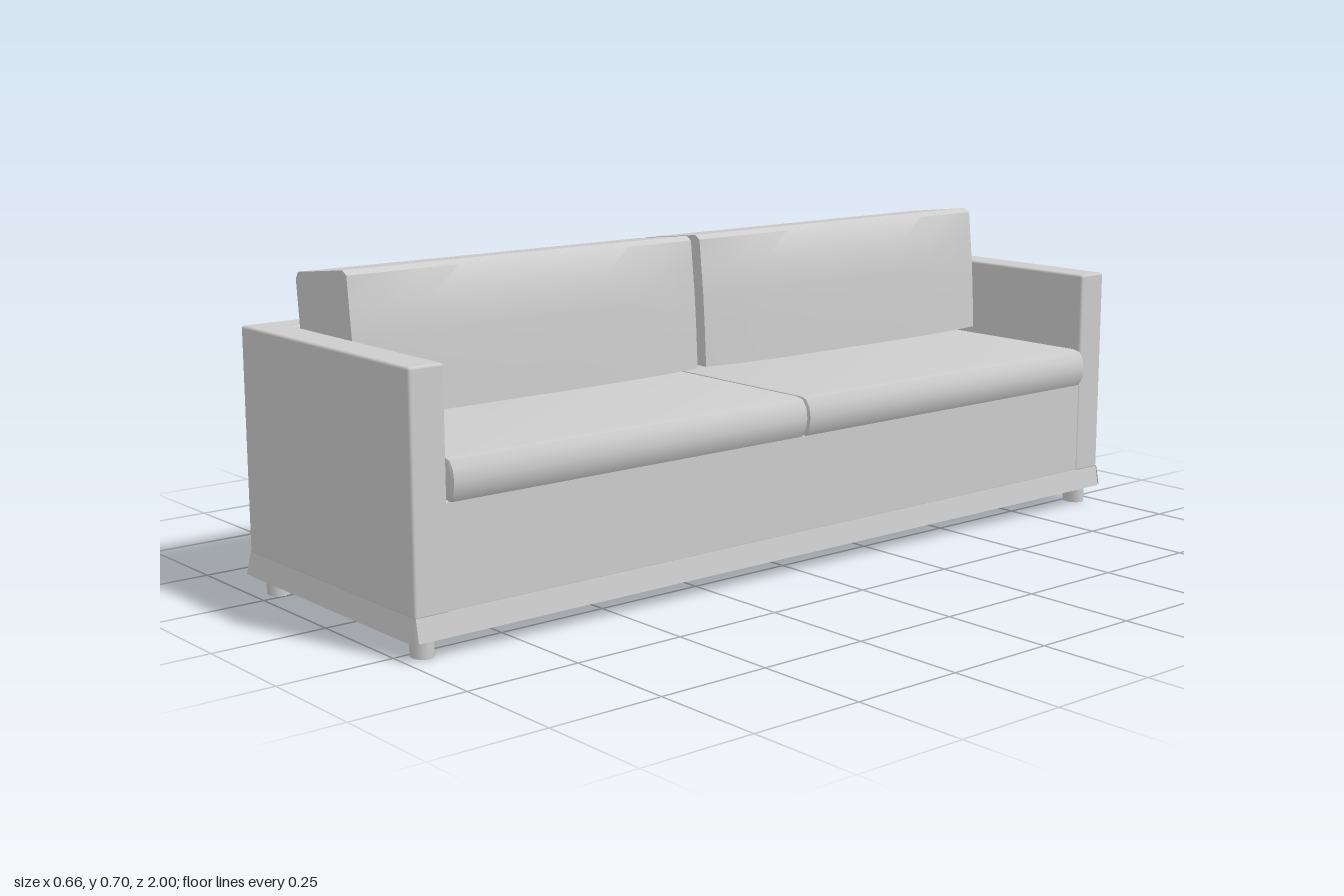
import * as THREE from 'three';
import { toCreasedNormals } from 'three/addons/utils/BufferGeometryUtils.js';
import { RoundedBoxGeometry } from 'three/addons/geometries/RoundedBoxGeometry.js';

export function createModel() {
  const sofa = new THREE.Group();
  sofa.name = 'sofa';
  const fabric = new THREE.MeshStandardMaterial({ color: 0xcccccc, side: THREE.DoubleSide });
  fabric.name = 'light grey fabric';

  const add = (name, geometry) => {
    const mesh = new THREE.Mesh(geometry, fabric);
    mesh.name = name;
    sofa.add(mesh);
    return mesh;
  };
  // Softly rounded block given by its minimum and maximum corners
  const block = (name, [x0, y0, z0], [x1, y1, z1], radius = 0.006) => {
    const mesh = add(name, new RoundedBoxGeometry(x1 - x0, y1 - y0, z1 - z0, 2, radius));
    mesh.position.set((x0 + x1) / 2, (y0 + y1) / 2, (z0 + z1) / 2);
  };
  const outline = points => new THREE.Shape(points.map(p => new THREE.Vector2(...p)));

  // Frame: base, backrest and arms
  block('base', [-0.3, 0.085, -0.92], [0.31, 0.305, 0.92]);
  block('backrest', [-0.322, 0.085, -0.985], [-0.24, 0.568, 0.985]);
  for (const s of [-1, 1]) {
    const z = [s * 0.91, s * 0.988].sort((a, b) => a - b);
    block(s > 0 ? 'leftArm' : 'rightArm', [-0.322, 0.085, z[0]], [0.312, 0.568, z[1]]);
  }

  // Skirt: four slightly flared panels hanging below the frame, open at the corners
  const skirt = (name, a, b, out) => {
    const g = new THREE.BufferGeometry();
    const low = p => [p[0] + out[0], 0.041, p[1] + out[1]];
    const high = p => [p[0], 0.09, p[1]];
    g.setAttribute('position', new THREE.Float32BufferAttribute(
      [...high(a), ...low(a), ...low(b), ...high(b)], 3));
    g.setIndex([0, 1, 2, 0, 2, 3]);
    g.computeVertexNormals();
    add(name, g);
  };
  skirt('frontSkirt', [0.311, 0.986], [0.311, -0.986], [0.009, 0]);
  skirt('backSkirt', [-0.321, -0.986], [-0.321, 0.986], [-0.01, 0]);
  skirt('leftSkirt', [-0.321, 0.987], [0.312, 0.987], [0, 0.012]);
  skirt('rightSkirt', [0.312, -0.987], [-0.321, -0.987], [0, -0.012]);

  // Seat cushions: flat slabs with a rounded front edge
  const bevel = 0.008;
  const seatShape = outline([
    [-0.235, 0.306], [0.3, 0.306], [0.312, 0.309], [0.321, 0.322], [0.324, 0.343],
    [0.321, 0.364], [0.312, 0.377], [0.3, 0.38], [-0.235, 0.38],
  ]);
  for (const z of [-0.908, 0.002]) {
    const g = new THREE.ExtrudeGeometry(seatShape, {
      depth: 0.906 - 2 * bevel, bevelSize: bevel, bevelThickness: bevel, bevelSegments: 2,
    });
    g.translate(0, 0, z + bevel);
    add('seatCushion', toCreasedNormals(g, 0.7));
  }

  // Back cushions: leaning wedges whose front face bulges along their length
  const backShape = outline([
    [-0.205, 0.405], [0, 0.405], [-0.005, 0.5], [-0.01, 0.57], [-0.017, 0.635],
    [-0.045, 0.692], [-0.06, 0.701], [-0.235, 0.68], [-0.245, 0.665], [-0.235, 0.565],
  ]);
  const length = 0.885;
  for (const z of [-0.895, 0.015]) {
    const g = new THREE.ExtrudeGeometry(backShape, { depth: length, steps: 10, bevelEnabled: false });
    const p = g.attributes.position;
    for (let i = 0; i < p.count; i++) {
      const t = Math.abs(2 * p.getZ(i) / length - 1);
      if (p.getX(i) > -0.03) p.setX(i, p.getX(i) - 0.022 * t ** 4);
    }
    g.translate(0, 0, z);
    add('backCushion', toCreasedNormals(g, 0.6));
  }

  // Short legs
  for (const x of [-0.278, 0.273]) for (const z of [-0.95, 0.95]) {
    const leg = add('leg', new THREE.CylinderGeometry(0.027, 0.027, 0.09, 12));
    leg.scale.z = 0.85;
    leg.position.set(x, 0.045, z);
  }
  return sofa;
}
